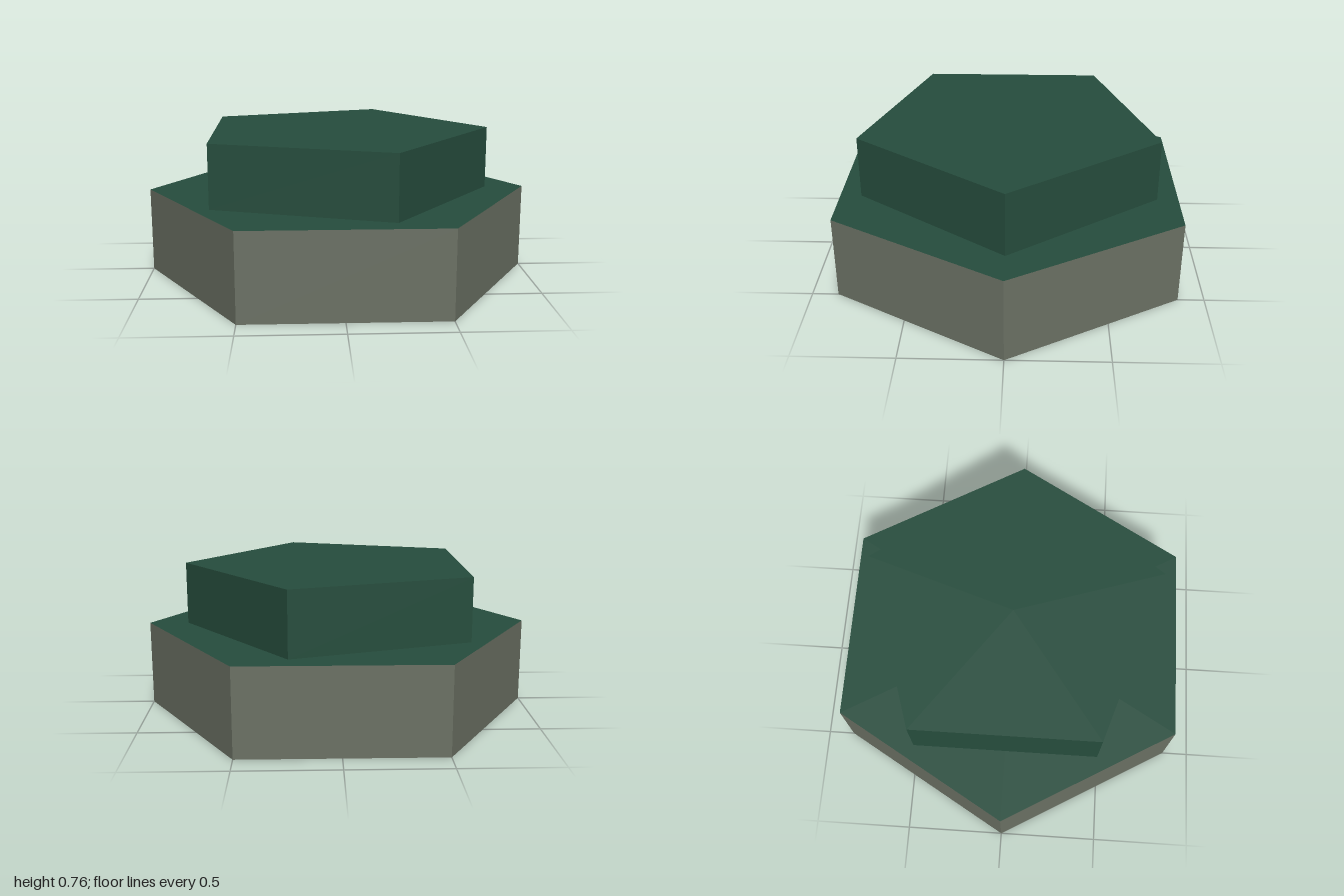
import * as THREE from 'three';

const material = (name, color) => {
  const m = new THREE.MeshStandardMaterial({ color, flatShading: true });
  m.name = name;
  return m;
};

// Upright prism with a corner pointing to +x; materials are [side, top, bottom]
function prism(name, sides, radius, bottom, top, materials) {
  const geometry = new THREE.CylinderGeometry(
    radius, radius, top - bottom, sides, 1, false, Math.PI / 2);
  const mesh = new THREE.Mesh(geometry, materials);
  mesh.name = name;
  mesh.position.y = (bottom + top) / 2;
  return mesh;
}

export function createModel() {
  const green = material('dark green', 0x264d3d);
  const stone = material('grey stone', 0x6b7164);
  const underside = material('dark underside', 0x4a4a48);

  const group = new THREE.Group();
  group.name = 'steppedHexTile';

  // Hexagonal stone base with a green top
  group.add(prism('hexagonalBase', 6, 1, 0, 0.44, [stone, green, underside]));

  // Raised pentagonal plateau
  group.add(prism('pentagonalPlateau', 5, 0.797, 0.44, 0.764, [green, green, green]));

  return group;
}
